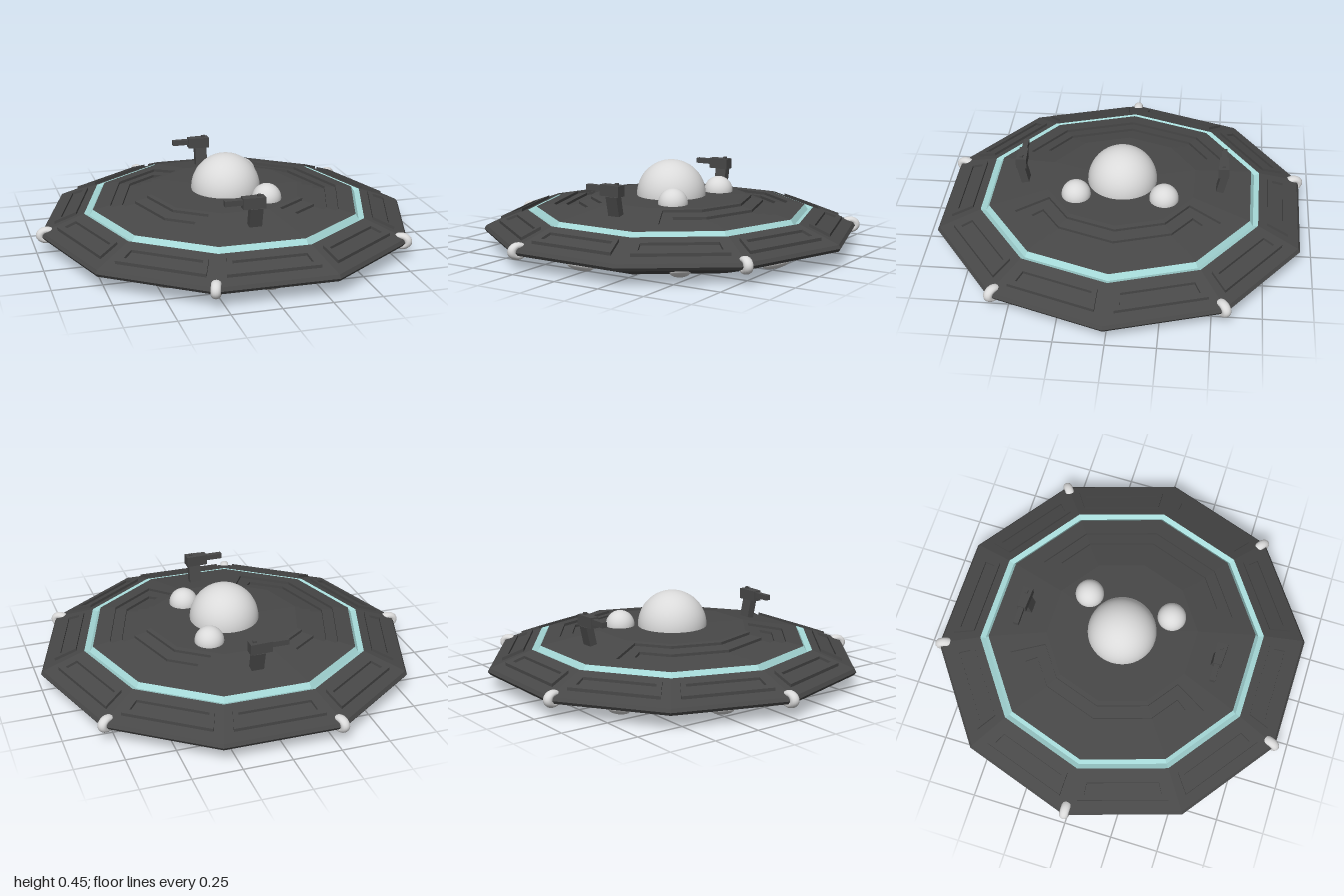
import * as THREE from 'three';

const SIDES = 10, STEP = (Math.PI * 2) / SIDES, DEG = Math.PI / 180;

function material(name, color) {
  const m = new THREE.MeshStandardMaterial({ color });
  m.name = name;
  return m;
}

function addMesh(parent, name, geometry, mat, x = 0, y = 0, z = 0) {
  const mesh = new THREE.Mesh(geometry, mat);
  mesh.name = name;
  mesh.position.set(x, y, z);
  parent.add(mesh);
  return mesh;
}

// Faceted ten-sided band from a (radius, height) profile, corner on +x
function band(profile) {
  const pts = profile.map(([r, y]) => new THREE.Vector2(r, y));
  const g = new THREE.LatheGeometry(pts, SIDES, Math.PI / 2).toNonIndexed();
  g.computeVertexNormals();
  return g;
}

// Point on the decagon of corner radius r at angle a
function decagonPoint(r, a, y) {
  const local = ((a % STEP) + STEP) % STEP;
  const d = (r * Math.cos(STEP / 2)) / Math.cos(local - STEP / 2);
  return [d * Math.cos(a), y, -d * Math.sin(a)];
}

// Closed outline between two radii and two angles, following a sloped surface
function outline(r0, r1, a0, a1, surface, lift) {
  const angles = [a0];
  for (let k = Math.ceil(a0 / STEP - 1e-6); k * STEP < a1 - 1e-6; k++) {
    if (k * STEP > a0 + 1e-6) angles.push(k * STEP);
  }
  angles.push(a1);
  const outer = angles.map(a => decagonPoint(r1, a, surface(r1) + lift));
  const inner = angles.map(a => decagonPoint(r0, a, surface(r0) + lift)).reverse();
  return outer.concat(inner);
}

// Stepped plate or trench: each step is [inset, lift]; the last outline is filled
function steppedPanel(r0, r1, a0, a1, surface, steps) {
  const loops = steps.map(([inset, lift]) => {
    const da = (inset * 2) / (r0 + r1);
    return outline(r0 + inset, r1 - inset, a0 + da, a1 - da, surface, lift);
  });
  const pos = [];
  const quad = (a, b, c, d) => pos.push(...a, ...b, ...c, ...a, ...c, ...d);
  const n = loops[0].length;
  for (let l = 0; l + 1 < loops.length; l++) {
    const A = loops[l], B = loops[l + 1];
    for (let i = 0; i < n; i++) quad(A[i], A[(i + 1) % n], B[(i + 1) % n], B[i]);
  }
  const last = loops[loops.length - 1];
  for (let i = 0; i + 1 < n / 2; i++) quad(last[i], last[i + 1], last[n - 2 - i], last[n - 1 - i]);
  const g = new THREE.BufferGeometry();
  g.setAttribute('position', new THREE.Float32BufferAttribute(pos, 3));
  g.computeVertexNormals();
  return g;
}

const skirtY = r => 0.108 + ((0.977 - r) / 0.22) * 0.08;
const deckY = r => 0.205 + ((0.711 - r) / 0.311) * 0.057;

export function createModel() {
  const model = new THREE.Group();
  model.name = 'saucer';
  const hullMat = material('dark grey hull', 0x484848);
  const glowMat = material('pale cyan trim', 0xa8dcdb);
  const whiteMat = material('light grey', 0xdadada);
  const greenMat = material('olive green', 0x88a254);

  const hull = new THREE.Group();
  hull.name = 'hull';
  hull.position.x = 0.01;
  hull.rotation.y = -0.01;
  model.add(hull);

  // Hull shells with a hollow belly, hatch, blunt rim and glowing channel
  addMesh(hull, 'bellyHatch', band([[0, 0.062], [0.305, 0.062]]), greenMat);
  addMesh(hull, 'lowerHull', band([[0.305, 0.062], [0.72, 0], [0.977, 0.074], [0.988, 0.09],
    [0.977, 0.108], [0.757, 0.188]]), hullMat);
  addMesh(hull, 'glowChannel', band([[0.757, 0.188], [0.729, 0.177], [0.711, 0.205]]), glowMat);

  // Deck, left open where the two trenches run
  const R0 = 0.425, R1 = 0.62, SPAN = 63 * DEG;
  addMesh(hull, 'outerDeck', band([[0.711, 0.205], [R1, deckY(R1)]]), hullMat);
  addMesh(hull, 'innerDeck', band([[R0, deckY(R0)], [0.4, 0.262], [0, 0.265]]), hullMat);
  for (const c of [0, Math.PI]) {
    addMesh(hull, 'deckTrench', steppedPanel(R0, R1, c - SPAN, c + SPAN, deckY,
      [[0, 0], [0, -0.014], [0.063, -0.014], [0.063, -0.028]]), hullMat);
    addMesh(hull, 'deckBridge', steppedPanel(R0, R1, c + SPAN, c + Math.PI - SPAN, deckY,
      [[0, 0]]), hullMat);
  }

  // Framed panel and belly lamp on every side
  const lampGeo = new THREE.SphereGeometry(1, 24, 16);
  for (let i = 0; i < SIDES; i++) {
    const mid = (i + 0.5) * STEP;
    addMesh(hull, 'skirtPanel', steppedPanel(0.805, 0.92, mid - 15 * DEG, mid + 15 * DEG, skirtY,
      [[0, -0.01], [0, 0.016], [0.027, 0.016], [0.027, 0.002]]), hullMat);

    const arm = new THREE.Group();
    arm.name = 'bellyLamp';
    arm.rotation.y = mid;
    hull.add(arm);
    const lamp = addMesh(arm, 'lamp', lampGeo, whiteMat, 0.8, 0.034, 0);
    lamp.scale.set(0.083, 0.022, 0.049);
    lamp.rotation.z = 0.33;
  }

  // Flattened rings clasping every second rim corner
  const ringGeo = new THREE.TorusGeometry(0.032, 0.022, 14, 28);
  for (let i = 1; i < SIDES; i += 2) {
    const arm = new THREE.Group();
    arm.name = 'rimRing';
    arm.rotation.y = i * STEP;
    hull.add(arm);
    addMesh(arm, 'ring', ringGeo, whiteMat, 0.956, 0.092, 0).scale.set(1, 0.8, 1.1);
  }

  // Domes
  const dome = r => new THREE.SphereGeometry(r, 40, 20, 0, Math.PI * 2, 0, Math.PI * 0.55);
  addMesh(model, 'mainDome', dome(0.182), whiteMat, 0.01, 0.268, 0);
  for (const s of [1, -1]) addMesh(model, 'smallDome', dome(0.076), whiteMat, 0.165, 0.268, s * 0.228);

  // Guns with level heads on leaning posts, barrels toward -x
  for (const s of [1, -1]) {
    const gun = new THREE.Group();
    gun.name = s > 0 ? 'frontGun' : 'backGun';
    gun.position.set(0, 0.23, s * 0.53);
    model.add(gun);
    const post = new THREE.BoxGeometry(0.065, 0.12, 0.04);
    addMesh(gun, 'post', post, hullMat, 0.012, 0.048, -s * 0.007).rotation.x = s * 0.22;
    const body = new THREE.BoxGeometry(0.115, 0.056, 0.056);
    const p = body.attributes.position;
    for (let i = 0; i < p.count; i++) if (p.getX(i) < 0) p.setZ(i, p.getZ(i) * 0.8);
    body.computeVertexNormals();
    addMesh(gun, 'body', body, hullMat, 0, 0.132, 0);
    addMesh(gun, 'barrel', new THREE.BoxGeometry(0.095, 0.028, 0.028), hullMat, -0.1, 0.138, 0);
    addMesh(gun, 'sight', new THREE.BoxGeometry(0.018, 0.012, 0.016), hullMat, 0.03, 0.164, 0);
  }

  return model;
}
